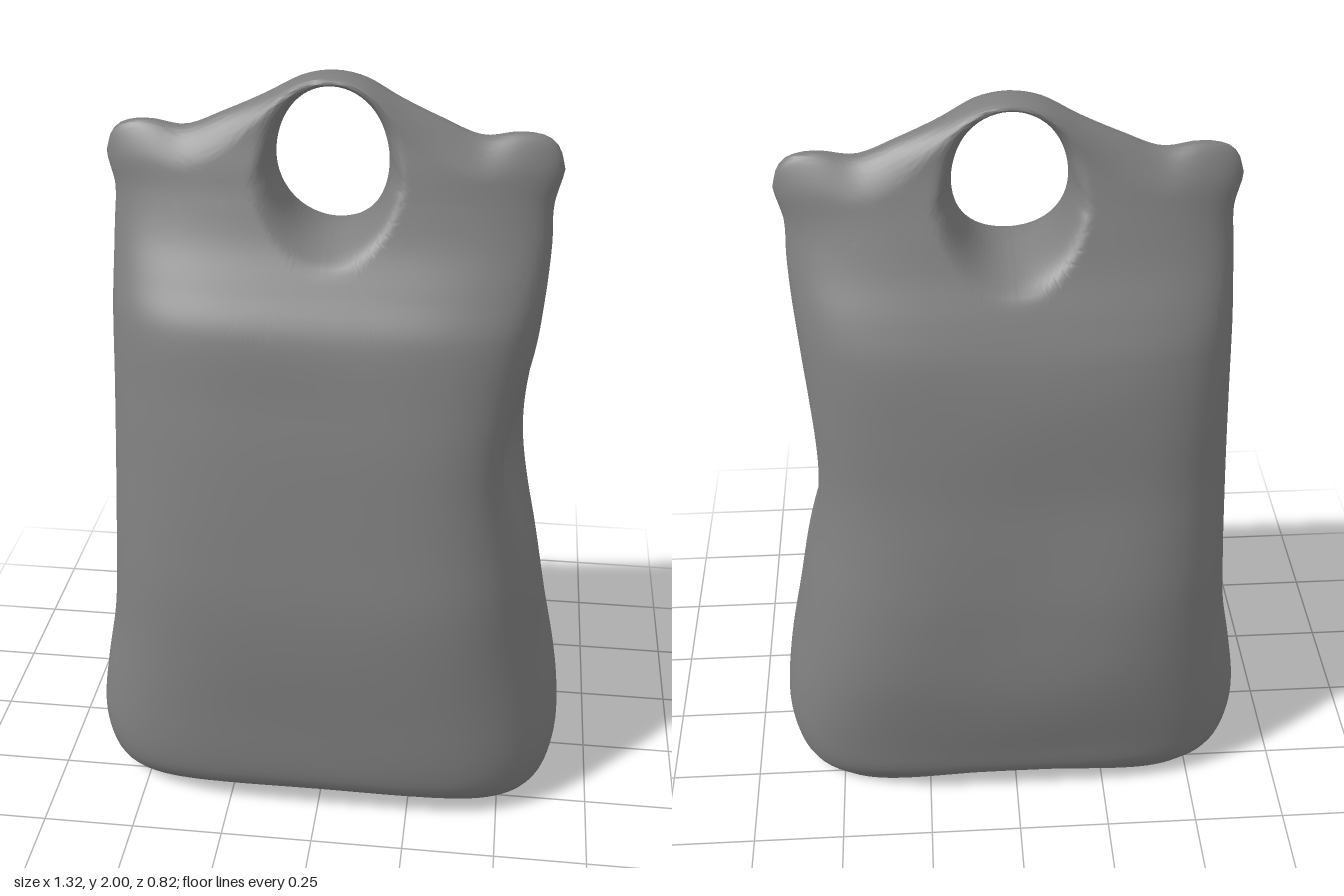
import * as THREE from 'three';
import { toCreasedNormals } from 'three/addons/utils/BufferGeometryUtils.js';

// Bag stations: height, half width at +x, half width at -x, front depth, back depth
const STATIONS = [
  [0, 0.59, 0.59, 0.34, 0.35], [0.03, 0.63, 0.63, 0.37, 0.36], [0.08, 0.65, 0.652, 0.388, 0.365],
  [0.17, 0.66, 0.662, 0.4, 0.375], [0.3, 0.645, 0.645, 0.405, 0.392], [0.5, 0.605, 0.61, 0.405, 0.405],
  [0.7, 0.57, 0.595, 0.4, 0.39], [0.85, 0.545, 0.588, 0.378, 0.362], [1.0, 0.532, 0.582, 0.35, 0.335],
  [1.2, 0.535, 0.575, 0.315, 0.31], [1.4, 0.545, 0.57, 0.27, 0.265], [1.5, 0.552, 0.566, 0.212, 0.222],
  [1.6, 0.556, 0.562, 0.155, 0.17], [1.7, 0.555, 0.557, 0.118, 0.13], [1.78, 0.575, 0.575, 0.095, 0.1],
  [1.86, 0.575, 0.575, 0.072, 0.075], [2.01, 0.575, 0.575, 0.045, 0.05],
];
// Top seam: distance from the middle, height
const TOP = [
  [-0.08, 1.985], [0, 2], [0.08, 1.985], [0.17, 1.94], [0.27, 1.895], [0.37, 1.856],
  [0.46, 1.868], [0.525, 1.86], [0.56, 1.83], [0.575, 1.78],
];
const HOLE = { y: 1.785, rx: 0.143, ry: 0.185 };
const { smoothstep, clamp } = THREE.MathUtils;

// Smooth interpolation of one table column
function sample(table, col, v) {
  const last = table.length - 1;
  const k = table.findIndex((s, i) => i === last - 1 || v < table[i + 1][0]);
  const slope = (i) => {
    const a = table[Math.max(i - 1, 0)], b = table[Math.min(i + 1, last)];
    return (b[col] - a[col]) / (b[0] - a[0]);
  };
  const h = table[k + 1][0] - table[k][0], t = clamp((v - table[k][0]) / h, 0, 1);
  const t2 = t * t, t3 = t2 * t;
  return (2 * t3 - 3 * t2 + 1) * table[k][col] + (t3 - 2 * t2 + t) * h * slope(k)
    + (3 * t2 - 2 * t3) * table[k + 1][col] + (t3 - t2) * h * slope(k + 1);
}

// Quarter-round falloff from an edge
const round = (v) => (v >= 1 ? 1 : Math.sqrt(Math.max(0, 1 - (1 - v) ** 2)));

// Half of the silhouette, from the base up to just before the middle of the top
function halfOutline(side) {
  const pts = [0.25, 0.48].map((x) => [x, 0]);
  for (let i = 0; i <= 36; i++) {
    const y = 1.78 * (i / 36) ** 2;
    pts.push([sample(STATIONS, side, y), y]);
  }
  for (let i = 2; i < 24; i++) {
    const x = 0.575 * (1 - (i / 24) ** 2);
    pts.push([x, sample(TOP, 1, x)]);
  }
  return pts;
}

// Outer silhouette, counter-clockwise from the middle of the base
function outline(count) {
  const mirrored = halfOutline(2).reverse().map(([x, y]) => [-x, y]);
  const pts = [[0, 0], ...halfOutline(1), [0, 2], ...mirrored];
  const curve = new THREE.CatmullRomCurve3(pts.map(([x, y]) => new THREE.Vector3(x, y, 0)), true, 'centripetal');
  curve.arcLengthDivisions = 1500;
  return curve.getSpacedPoints(count).slice(0, count);
}

// Closed skin: every loop runs hole -> front -> silhouette -> back -> hole
function skinGeometry() {
  const around = 280, rings = 56, loop = rings * 2;
  const position = [], index = [];
  outline(around).forEach((o, i) => {
    const oy = Math.max(0, o.y);
    const a = Math.atan2(oy - HOLE.y, o.x);
    const hx = HOLE.rx * Math.cos(a), hy = HOLE.y + HOLE.ry * Math.sin(a);
    const length = Math.hypot(o.x - hx, oy - hy);
    const holeRound = Math.min(0.055, length / 2);
    // Paths to the shoulders sag, so they meet the top seam from below
    const sag = 0.4 * smoothstep(oy, 1.6, 1.8) * smoothstep(Math.abs(o.x), 0.15, 0.4);

    for (let j = 0; j < loop; j++) {
      const front = j <= rings, k = front ? j : loop - j;
      const t = (1 - Math.cos((Math.PI * k) / rings)) / 2;
      let x = hx + (o.x - hx) * t;
      let y = hy + (oy - hy) * t - sag * t * (1 - t);
      if (y < 0.004) y = 0;
      const ax = Math.abs(x);
      const u = Math.min(1, ax / sample(STATIONS, x > 0 ? 1 : 2, y));

      // Full, boxy section below; softly pinched section at the top seam
      const pinch = smoothstep(y, 1.45, 1.88);
      let z = sample(STATIONS, front ? 3 : 4, y) * (1 - u ** (4 - 1.7 * pinch)) ** (0.38 + 0.17 * pinch);
      z *= 1 - 0.2 * Math.exp(-((y / 0.06) ** 2)) * (1 - u * u);

      // Soft creases in the cloth
      const belly = smoothstep(y, 0.1, 0.4) * (1 - smoothstep(y, 1.2, 1.5)) * (1 - u * u);
      z += belly * 0.006 * Math.sin(9 * y + 4 * x + (front ? 0 : 2)) * Math.sin(5 * x - 3 * y);

      // Rounded rims of the hole and the top seam
      z *= round((t * length) / holeRound);
      if (y > 1.6) {
        const topRound = 0.015 + 0.085 * smoothstep(ax, 0.06, 0.3);
        z *= round((sample(TOP, 1, ax) - y) / topRound);
      }
      if (k === 0 || k === rings) z = 0;
      if (!front) z = -z;

      // Dent pressed into the left side
      if (x > 0) {
        x -= 0.07 * u ** 4 * Math.exp(-(((y - 1.02) / 0.2) ** 2) - ((z - 0.09) / 0.15) ** 2);
      }
      position.push(x, y, z);

      const i2 = (i + 1) % around, j2 = (j + 1) % loop;
      const p = i * loop + j, q = i * loop + j2, r = i2 * loop + j2, s = i2 * loop + j;
      index.push(p, q, r, p, r, s);
    }
  });
  const g = new THREE.BufferGeometry();
  g.setAttribute('position', new THREE.Float32BufferAttribute(position, 3));
  g.setIndex(index);
  return toCreasedNormals(g, 1.0);
}

export function createModel() {
  const group = new THREE.Group();
  group.name = 'bag';
  const skin = new THREE.Mesh(skinGeometry(), new THREE.MeshStandardMaterial({ color: 0x7f7f7f }));
  skin.name = 'bagWithHandleHole';
  group.add(skin);
  return group;
}
